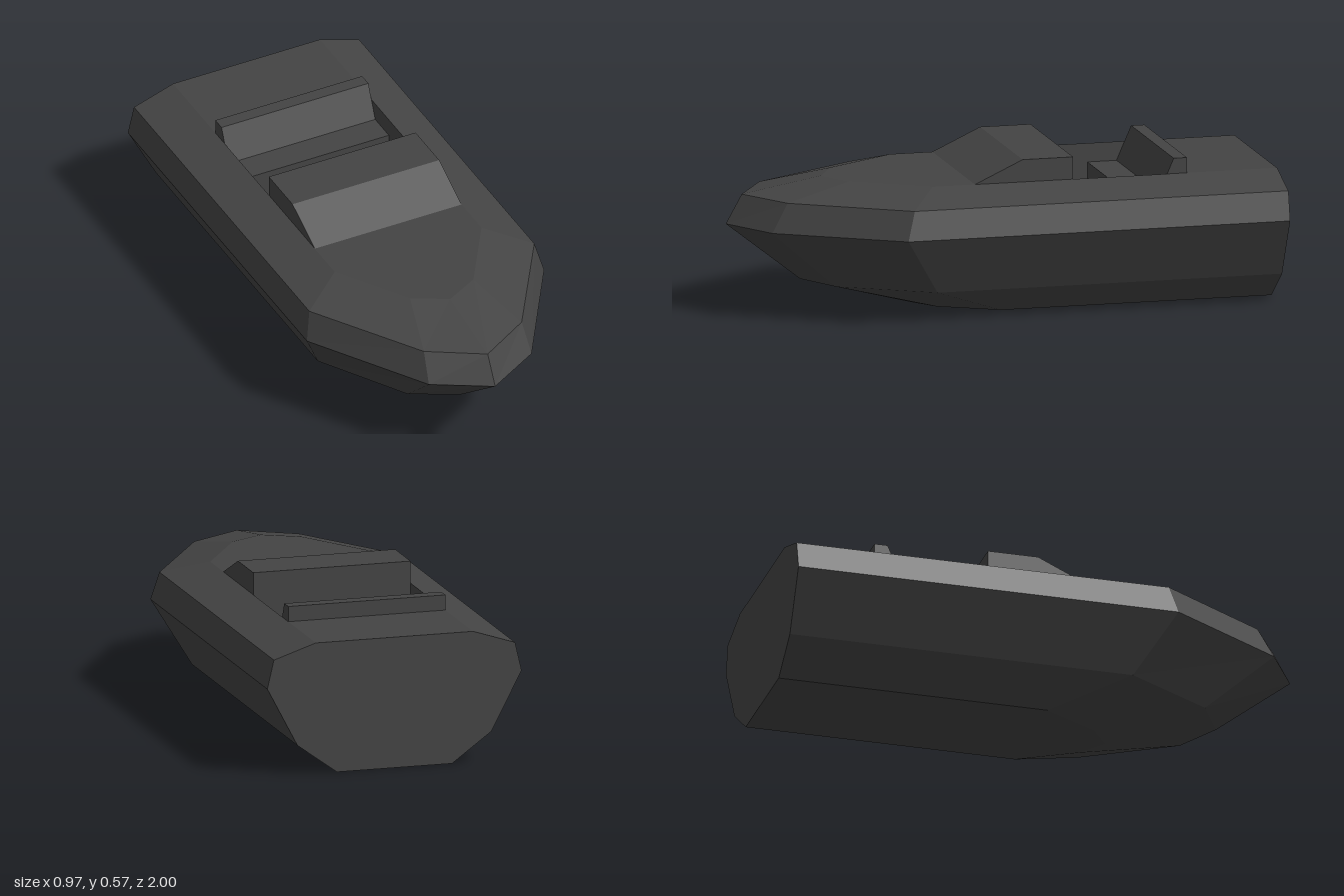
import * as THREE from 'three';

const material = new THREE.MeshStandardMaterial({ color: 0x444444, flatShading: true });
const innerMaterial = new THREE.MeshStandardMaterial({ color: 0x444444, flatShading: true, side: THREE.BackSide });

const STERN = -1, DECK = 0.49, HALF = 0.3;
const WELL_FRONT = -0.23, WELL_BACK = -0.66, FLOOR = 0.26;

// Hull levels: height, half-width, shoulder z, cheek x, cheek z, stem z
const levels = [
  [0.00, 0.22, 0.02, 0.10, 0.23, 0.30],
  [0.11, 0.37, 0.30, 0.17, 0.63, 0.72],
  [0.33, 0.485, 0.44, 0.21, 0.88, 1.00],
  [0.437, 0.46, 0.41, 0.20, 0.82, 0.94],
  [DECK, HALF, 0.30, 0.13, 0.57, 0.64],
];

// Boat-shaped outline at one level, from the left aft corner round the bow
function outline([y, w, shoulderZ, cheekX, cheekZ, stemZ], aftZ = STERN) {
  const side = [[w, y, aftZ], [w, y, shoulderZ], [cheekX, y, cheekZ]];
  const mirrored = side.map(([x, py, z]) => [-x, py, z]).reverse();
  return [...side, [0, y, stemZ], ...mirrored];
}

function flatGeometry(triangles) {
  const geometry = new THREE.BufferGeometry();
  geometry.setAttribute('position', new THREE.Float32BufferAttribute(triangles.flat(2), 3));
  geometry.computeVertexNormals();
  return geometry;
}

// Fill a convex outline; facing up or down
function fan(points, up) {
  const triangles = [];
  for (let i = 1; i < points.length - 1; i++) {
    triangles.push(up ? [points[0], points[i + 1], points[i]] : [points[0], points[i], points[i + 1]]);
  }
  return triangles;
}

// Hull shell: rings joined level by level (closing the transom), plus the bottom
function hullGeometry() {
  const rings = levels.map((level) => outline(level));
  const triangles = fan(rings[0], false);
  for (let k = 0; k < rings.length - 1; k++) {
    const low = rings[k], high = rings[k + 1];
    for (let i = 0; i < low.length; i++) {
      const j = (i + 1) % low.length;
      triangles.push([low[i], high[i], low[j]], [high[i], high[j], low[j]]);
    }
  }
  return flatGeometry(triangles);
}

// Side profile in (z, y), extruded across the boat
function acrossGeometry(profile) {
  const shape = new THREE.Shape(profile.map(([z, y]) => new THREE.Vector2(z, y)));
  const geometry = new THREE.ExtrudeGeometry(shape, { depth: 2 * HALF, bevelEnabled: false });
  geometry.rotateY(-Math.PI / 2);
  geometry.translate(HALF, 0, 0);
  return geometry;
}

// Open-topped box seen from the inside
function wellGeometry() {
  const geometry = new THREE.BoxGeometry(2 * HALF, DECK - FLOOR, WELL_FRONT - WELL_BACK);
  geometry.setIndex(Array.from(geometry.index.array).filter((_, i) => i < 12 || i >= 18));
  geometry.clearGroups();
  geometry.translate(0, (DECK + FLOOR) / 2, (WELL_FRONT + WELL_BACK) / 2);
  return geometry;
}

export function createModel() {
  const boat = new THREE.Group();
  boat.name = 'motorBoat';
  const add = (name, geometry, mat = material) => {
    const mesh = new THREE.Mesh(geometry, mat);
    mesh.name = name;
    boat.add(mesh);
  };

  add('hull', hullGeometry());

  // Decks before and behind the cockpit
  add('foreDeck', flatGeometry(fan(outline(levels[4], WELL_FRONT), true)));
  const aft = [[HALF, DECK, STERN], [HALF, DECK, WELL_BACK], [-HALF, DECK, WELL_BACK], [-HALF, DECK, STERN]];
  add('aftDeck', flatGeometry(fan(aft, true)));

  add('cockpitWell', wellGeometry(), innerMaterial);

  // Raised console with a sloped front
  add('console', acrossGeometry([
    [0.14, DECK], [-0.04, 0.573], [WELL_FRONT, 0.573], [WELL_FRONT, DECK],
  ]));

  // Bench with a leaning backrest
  add('benchSeat', acrossGeometry([
    [-0.445, FLOOR], [-0.445, 0.42], [-0.555, 0.42], [-0.61, 0.547], [WELL_BACK, 0.547], [WELL_BACK, FLOOR],
  ]));

  return boat;
}
